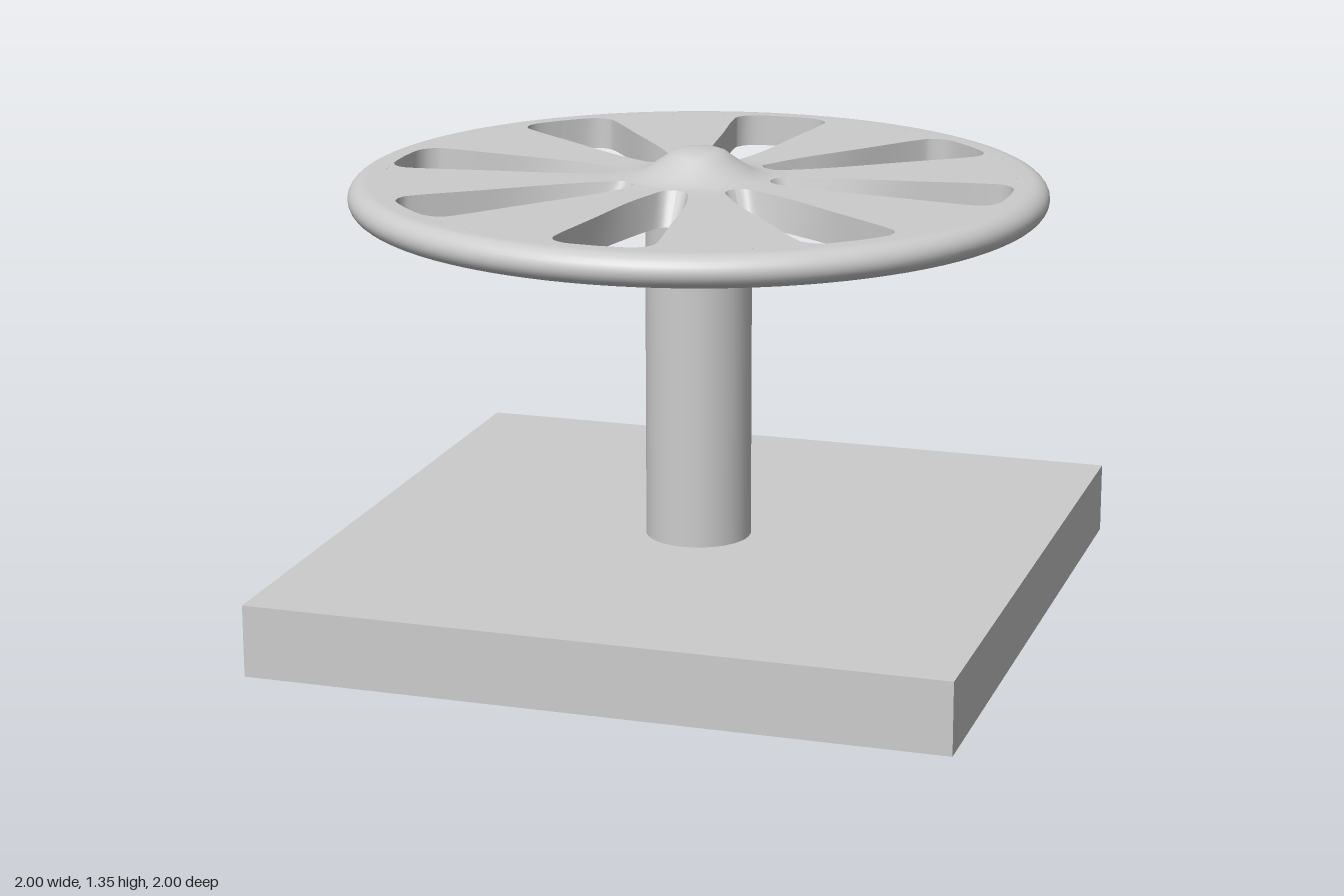
import * as THREE from 'three';
import { mergeVertices } from 'three/addons/utils/BufferGeometryUtils.js';

const HOLES = 8;
const STEP = (Math.PI * 2) / HOLES;
const TOP = 1.268, BOTTOM = 1.175, MID = (TOP + BOTTOM) / 2;

// Smooth half-outline of one opening, from its inner tip to its outer end,
// as polar points { r, a } about the wheel axis
function halfOutline(points) {
  const curve = new THREE.SplineCurve(points.map(([r, w]) => new THREE.Vector2(r, w)));
  return curve.getPoints(48).map(p => ({
    r: Math.min(p.length(), 0.9),
    a: Math.atan2(Math.max(p.y, 0), p.x),
  }));
}
const outerEnd = [[0.6, 0.11], [0.8, 0.139], [0.86, 0.134], [0.893, 0.09], [0.9, 0]];
const topHole = halfOutline([[0.213, 0], [0.225, 0.033], [0.27, 0.052], [0.4, 0.083], ...outerEnd]);
const bottomHole = halfOutline([[0.265, 0], [0.275, 0.025], [0.32, 0.045], [0.4, 0.067], ...outerEnd]);

// Height of the upper face, rising to the domed hub
const hub = [[0, 1.35], [0.03, 1.349], [0.06, 1.345], [0.08, 1.338], [0.09, 1.329], [0.12, 1.308],
  [0.15, 1.288], [0.18, 1.274], [0.213, TOP + 0.002], [0.25, TOP]];
function topHeight(r) {
  for (let i = 1; i < hub.length; i++) {
    const [r0, y0] = hub[i - 1], [r1, y1] = hub[i];
    if (r <= r1) return y0 + ((r - r0) / (r1 - r0)) * (y1 - y0);
  }
  return TOP;
}

const polar = (r, a, y) => [r * Math.cos(a), y, r * Math.sin(a)];

// Adds a grid of points (rows of equal length) to shared buffers
function addGrid(buf, rows) {
  const base = buf.pos.length / 3, n = rows[0].length;
  rows.forEach(row => row.forEach(p => buf.pos.push(...p)));
  for (let i = 0; i < rows.length - 1; i++) {
    for (let j = 0; j < n - 1; j++) {
      const a = base + i * n + j, b = a + n;
      buf.idx.push(a, a + 1, b, a + 1, b + 1, b);
    }
  }
}

function toGeometry(buf) {
  let g = new THREE.BufferGeometry();
  g.setAttribute('position', new THREE.Float32BufferAttribute(buf.pos, 3));
  g.setIndex(buf.idx);
  g = mergeVertices(g, 1e-5);
  g.computeVertexNormals();
  return g;
}

// Path from the hub over the top, around the rim and back underneath;
// a is half the angle of the opening at each radius
function wheelProfile() {
  const path = hub.slice(0, 8).map(([r, y]) => ({ r, y, a: 0 }));
  topHole.forEach(p => path.push({ ...p, y: topHeight(p.r) }));
  const rimR = 0.94, half = (TOP - BOTTOM) / 2;
  for (let i = 0; i <= 14; i++) {
    const t = Math.PI / 2 - (i / 14) * Math.PI;
    path.push({ r: rimR + 0.055 * Math.cos(t), y: MID + half * Math.sin(t), a: 0 });
  }
  [...bottomHole].reverse().forEach(p => path.push({ ...p, y: BOTTOM }));
  path.push({ r: 0, y: BOTTOM, a: 0 });
  return path;
}

function createWheel(material) {
  const wheel = new THREE.Group();
  wheel.name = 'wheel';
  const skin = { pos: [], idx: [] }, walls = { pos: [], idx: [] };
  const profile = wheelProfile(), cols = 12;

  for (let k = 0; k < HOLES; k++) {
    const centre = k * STEP;
    // Spoke sector between this opening and the next
    addGrid(skin, profile.map(({ r, y, a }) => {
      const row = [];
      for (let j = 0; j <= cols; j++) {
        row.push(polar(r, centre + a + (j / cols) * (STEP - 2 * a), y));
      }
      return row;
    }));
    // Inner wall of the opening: out along one side, back along the other
    const wallRow = (i, side) => {
      const t = topHole[i], b = bottomHole[i];
      return [
        polar(b.r, centre + side * b.a, BOTTOM),
        polar(t.r, centre + side * t.a, topHeight(t.r)),
      ];
    };
    const rows = topHole.map((_, i) => wallRow(i, 1));
    for (let i = topHole.length - 2; i >= 0; i--) rows.push(wallRow(i, -1));
    addGrid(walls, rows);
  }

  for (const [name, buf] of [['wheelSpokesAndRim', skin], ['openingWalls', walls]]) {
    const mesh = new THREE.Mesh(toGeometry(buf), material);
    mesh.name = name;
    wheel.add(mesh);
  }
  return wheel;
}

export function createModel() {
  const model = new THREE.Group();
  model.name = 'handwheelOnPedestal';
  const material = new THREE.MeshStandardMaterial({ color: 0xcccccc });

  // Square base plate
  const base = new THREE.Mesh(new THREE.BoxGeometry(2, 0.207, 2), material);
  base.name = 'base';
  base.position.y = 0.1035;

  // Round column, running from the base to the underside of the wheel
  const height = BOTTOM + 0.01 - 0.2;
  const column = new THREE.Mesh(new THREE.CylinderGeometry(0.153, 0.153, height, 32), material);
  column.name = 'column';
  column.position.y = 0.2 + height / 2;

  model.add(base, column, createWheel(material));
  return model;
}
